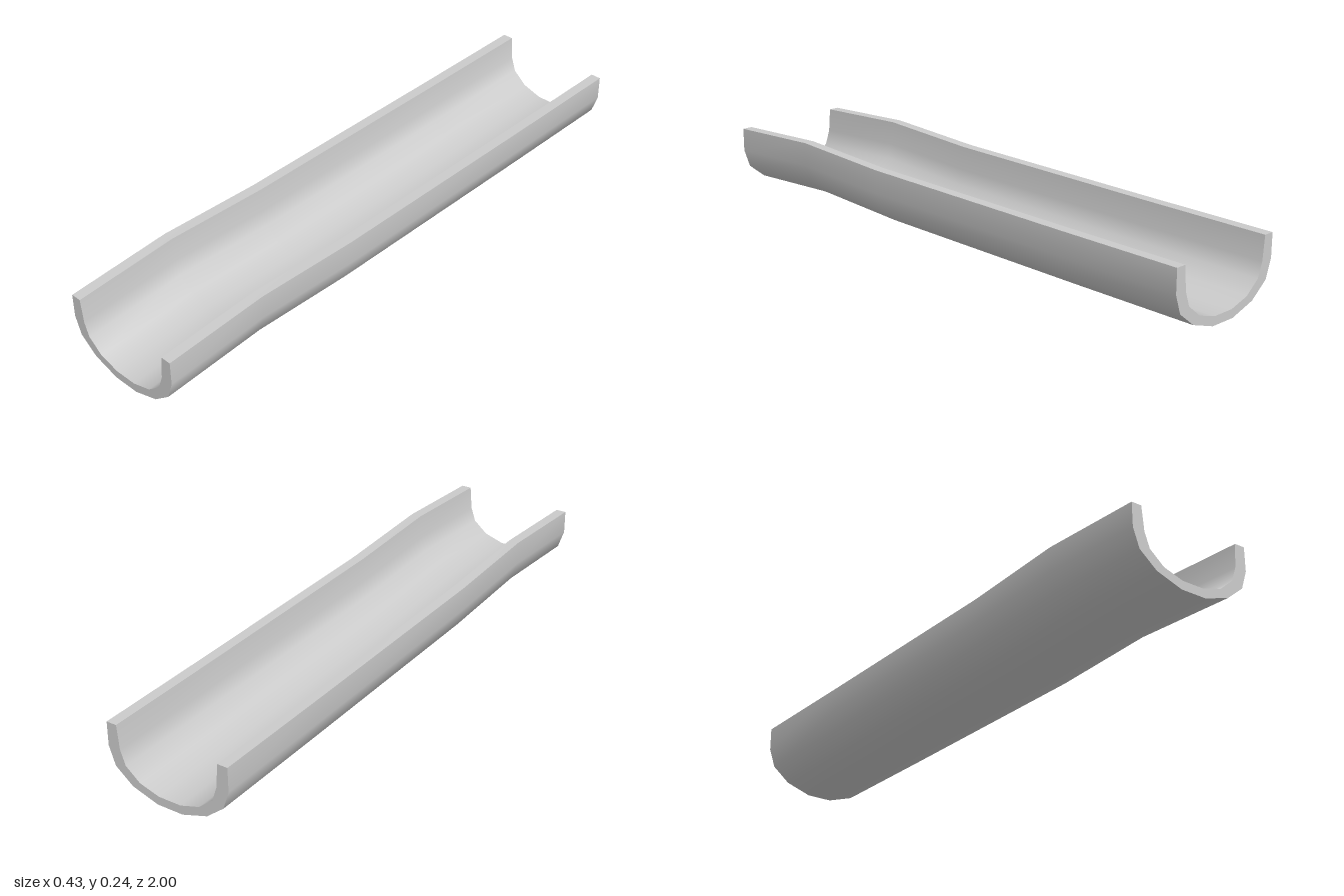
import * as THREE from 'three';

// Right half of the channel section, from the lip down to the bottom
const OUTER = [[0.215, 0.22], [0.215, 0.14], [0.194, 0.078], [0.134, 0.029], [0.045, 0]];
const INNER = [[0.18, 0.22], [0.173, 0.14], [0.156, 0.091], [0.107, 0.05], [0.039, 0.029]];

// Stations along the length: [z, lift]
const STATIONS = [[1, 0], [0.64, 0.021], [0.27, 0.006], [-0.55, 0.006], [-1, 0.008]];

const mirror = (half) => [...half, ...half.map(([x, y]) => [-x, y]).reverse()];

// Sweep a strip of section points through all stations, smooth within the strip
function loft(points) {
  const positions = [], index = [], n = points.length;
  for (const [z, lift] of STATIONS) {
    for (const [x, y] of points) positions.push(x, y + lift, z);
  }
  for (let j = 0; j < STATIONS.length - 1; j++) {
    for (let i = 0; i < n - 1; i++) {
      const a = j * n + i, b = a + 1, c = a + n, d = c + 1;
      index.push(a, b, c, b, d, c);
    }
  }
  const geometry = new THREE.BufferGeometry();
  geometry.setAttribute('position', new THREE.Float32BufferAttribute(positions, 3));
  geometry.setIndex(index);
  geometry.computeVertexNormals();
  return geometry;
}

export function createModel() {
  const group = new THREE.Group();
  group.name = 'channel';
  const material = new THREE.MeshStandardMaterial({ color: 0xcccccc });
  const add = (name, geometry) => {
    const mesh = new THREE.Mesh(geometry, material);
    mesh.name = name;
    group.add(mesh);
    return mesh;
  };

  const outer = mirror(OUTER);
  const inner = mirror(INNER).reverse();

  // Walls and the flat lips joining them
  add('outerWall', loft(outer));
  add('innerWall', loft(inner));
  add('rightLip', loft([outer[outer.length - 1], inner[0]]));
  add('leftLip', loft([inner[inner.length - 1], outer[0]]));

  // Flat end faces
  const section = new THREE.Shape([...outer, ...inner].map(([x, y]) => new THREE.Vector2(x, y)));
  const [front, back] = [STATIONS[0], STATIONS[STATIONS.length - 1]];
  add('frontEnd', new THREE.ShapeGeometry(section)).position.set(0, front[1], front[0]);
  const backEnd = add('backEnd', new THREE.ShapeGeometry(section));
  backEnd.position.set(0, back[1], back[0]);
  backEnd.rotation.y = Math.PI;

  return group;
}
